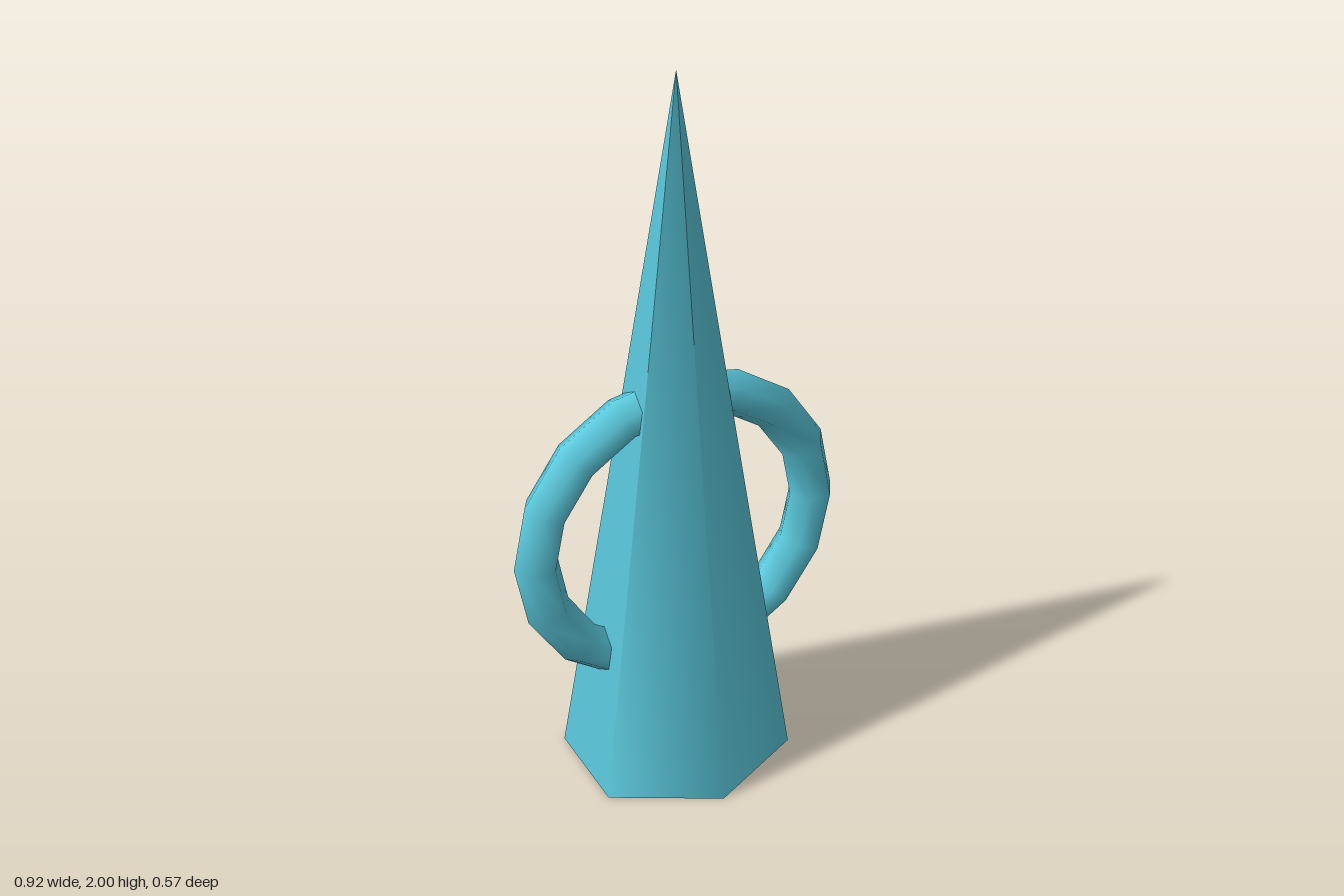
import * as THREE from 'three';

export function createModel() {
  const model = new THREE.Group();
  const turquoise = new THREE.MeshStandardMaterial({ color: 0x5bcade });
  turquoise.name = 'turquoise';

  const add = (name, geometry, y) => {
    const mesh = new THREE.Mesh(geometry, turquoise);
    mesh.name = name;
    mesh.position.y = y;
    model.add(mesh);
    return mesh;
  };

  // Six-sided spire, slightly widened in x, with a closed base
  const spire = add('spire', new THREE.ConeGeometry(0.283, 2, 6), 1);
  spire.scale.x = 1.114;

  // Upright ring through the spire, forming a handle on each side
  add('ringHandles', new THREE.TorusGeometry(0.4, 0.0615, 6, 16), 0.71);

  return model;
}
